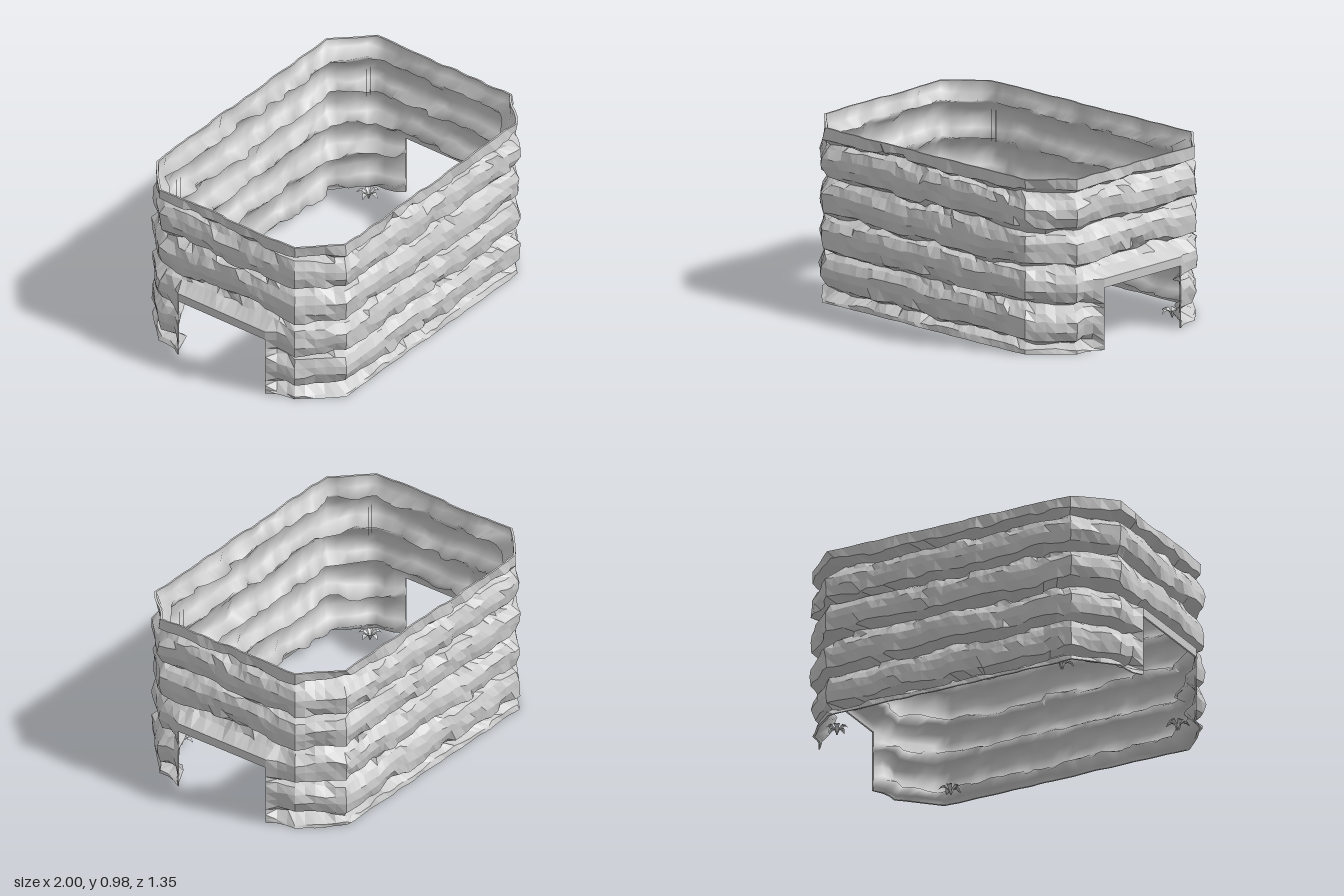
import * as THREE from 'three';

const END = 0.96, SIDE = 0.67, DOOR = 0.3, DOOR_TOP = 0.35, THICK = 0.01;

// Plan outline: corner x, corner z, steps to the next corner
const outline = [
  [END, DOOR, 3], [END, 0.47, 5], [0.76, SIDE, 36], [-0.76, SIDE, 5], [-END, 0.47, 3], [-END, DOOR, 14],
  [-END, -DOOR, 3], [-END, -0.47, 5], [-0.76, -SIDE, 36], [0.76, -SIDE, 5], [END, -0.47, 3], [END, -DOOR, 14],
];
const plan = [];
outline.forEach(([x, z, n], k) => {
  const [x2, z2] = outline[(k + 1) % outline.length];
  for (let i = 0; i < n; i++) plan.push([x + (x2 - x) * i / n, z + (z2 - z) * i / n]);
});
const N = plan.length;

// Rows of the wall: height, inset, roughness; one rounded log per course
const rows = [[0, 0.008, 0.01], [0.025, 0.016, 0.014]];
for (let k = 0; k < 5; k++) {
  const g = 0.05 + 0.21 * k;
  const course = [[0, 0.072, 0.042], [0.032, 0.014, 0.024], [0.09, 0.003, 0.012], [0.14, 0.007, 0.014], [0.185, 0.034, 0.026]];
  for (const [dy, inset, rough] of course) if (g + dy < 0.96) rows.push([g + dy, inset, rough]);
}
rows.push([0.98, 0.014, 0.012]);
const LAST = rows.length - 1;
const LINTEL = rows.findIndex(r => Math.abs(r[0] - DOOR_TOP) < 0.001);

const hash = (i, j) => {
  const s = Math.sin(i * 127.1 + j * 311.7) * 43758.5453;
  return s - Math.floor(s);
};
const clamp = v => THREE.MathUtils.clamp(v, 0, 1);
const atEnd = ([x]) => Math.abs(x) > END - 0.001;
const atDoor = p => atEnd(p) && Math.abs(p[1]) < DOOR + 0.001;
const isDoorway = i => atDoor(plan[i]) && atDoor(plan[(i + 1) % N]);

// A point of the wall at plan index i and row j; depth is measured into the wall
function wallPoint(i, j, depth) {
  const [x0, z0] = plan[i];
  let [y, inset, rough] = rows[j];
  const a = i / N * Math.PI * 2;
  const wave = Math.sin(a * 9 + j * 0.8) * 0.5 + Math.sin(a * 23 + j * 1.7) * 0.5;
  const d = inset + wave * rough * 0.35 + (hash(Math.floor(i / 2), j) - 0.5) * rough + depth;
  let x = x0 * (END - d) / END;
  const z = atDoor(plan[i]) ? z0 : z0 * (SIDE - d) / SIDE;
  // Logs of uneven height, stepping every few columns
  if (j > 0 && j < LAST && !(atDoor(plan[i]) && y < 0.41)) {
    const course = Math.floor((j + 3) / 5);
    y += Math.sin(a * 8 + course * 2) * 0.004 + (hash(Math.floor((i + course * 2) / 5), course) - 0.5) * 0.026;
    y += (hash(Math.floor(i / 3), j + 50) - 0.5) * 0.012;
  }
  // Swell outwards to the flat door surround
  if (atEnd(plan[i])) {
    const f = clamp((0.38 - Math.abs(z0)) / 0.08) * clamp((0.44 - rows[j][0]) / 0.04);
    x += (Math.sign(x0) * (1 - depth) - x) * f;
  }
  return [x, y, z];
}

// One face of the wall as a vertex grid, open at the two doorways
function wallGeometry(depth) {
  const pos = [], idx = [];
  for (let j = 0; j <= LAST; j++) for (let i = 0; i < N; i++) pos.push(...wallPoint(i, j, depth));
  for (let i = 0; i < N; i++) {
    const k = (i + 1) % N;
    for (let j = isDoorway(i) ? LINTEL : 0; j < LAST; j++) {
      const a = j * N + i, b = j * N + k, c = b + N, d = a + N;
      if (depth > 0) idx.push(a, b, c, a, c, d);
      else idx.push(a, d, c, a, c, b);
    }
  }
  return finish(pos, idx);
}

// Strips closing the wall's thickness along the rims and doorways
function edgeGeometry() {
  const pos = [], idx = [];
  const strip = (i, j, k, l) => {
    const n = pos.length / 3;
    pos.push(...wallPoint(i, j, 0), ...wallPoint(k, l, 0), ...wallPoint(k, l, THICK), ...wallPoint(i, j, THICK));
    idx.push(n, n + 1, n + 2, n, n + 2, n + 3);
  };
  for (let i = 0; i < N; i++) {
    const k = (i + 1) % N, door = isDoorway(i);
    strip(i, LAST, k, LAST);
    strip(i, door ? LINTEL : 0, k, door ? LINTEL : 0);
    if (door !== isDoorway((i + N - 1) % N)) for (let j = 0; j < LINTEL; j++) strip(i, j, i, j + 1);
  }
  return finish(pos, idx);
}

function finish(pos, idx) {
  const g = new THREE.BufferGeometry();
  g.setAttribute('position', new THREE.Float32BufferAttribute(pos, 3));
  g.setIndex(idx);
  g.computeVertexNormals();
  return g;
}

function mesh(name, geometry, material) {
  const m = new THREE.Mesh(geometry, material);
  m.name = name;
  return m;
}

// Arching leaf: cross-sections of left edge, midrib, right edge
function leafGeometry() {
  const spine = [[0, 0, 0.004], [0.014, 0.035, 0.009], [0.036, 0.052, 0.016], [0.052, 0.047, 0.012], [0.068, 0.03, 0.0005]];
  const pos = [], idx = [];
  spine.forEach(([r, y, w], s) => {
    pos.push(r, y, -w, r, y - w * 0.3, 0, r, y, w);
    if (s === 0) return;
    for (let e = 0; e < 2; e++) {
      const a = (s - 1) * 3 + e;
      idx.push(a, a + 1, a + 4, a, a + 4, a + 3);
    }
  });
  return finish(pos, idx);
}

// Small tuft with five leaves and two thin stalks high above it
function makePlant(x, z, turn, material) {
  const plant = new THREE.Group();
  plant.name = 'cornerPlant';
  const leafShape = leafGeometry();
  for (let k = 0; k < 5; k++) {
    const leaf = mesh('leaf', leafShape, material);
    leaf.rotation.y = turn + k * Math.PI * 2 / 5;
    plant.add(leaf);
  }
  for (const s of [-1, 1]) {
    const stalk = mesh('stalk', new THREE.CylinderGeometry(0.0015, 0.0015, 0.18, 5), material);
    stalk.position.set(s * 0.015, 0.76, 0);
    plant.add(stalk);
  }
  plant.position.set(x, 0, z);
  return plant;
}

export function createModel() {
  const model = new THREE.Group();
  model.name = 'logEnclosure';
  const flat = new THREE.MeshStandardMaterial({ color: 0xcccccc, flatShading: true });
  const smooth = new THREE.MeshStandardMaterial({ color: 0xcccccc });
  const thin = new THREE.MeshStandardMaterial({ color: 0xcccccc, flatShading: true, side: THREE.DoubleSide });

  // Faceted outside, smooth inside and the edges between them
  model.add(mesh('outerLogWall', wallGeometry(0), flat));
  model.add(mesh('innerLogWall', wallGeometry(THICK), smooth));
  model.add(mesh('wallEdges', edgeGeometry(), thin));

  // A plant in each corner
  [[-0.65, -0.57], [0.82, -0.42], [-0.82, 0.41], [0.65, 0.55]].forEach(([x, z], k) => {
    model.add(makePlant(x, z, 0.3 + k * 0.5, thin));
  });
  return model;
}
